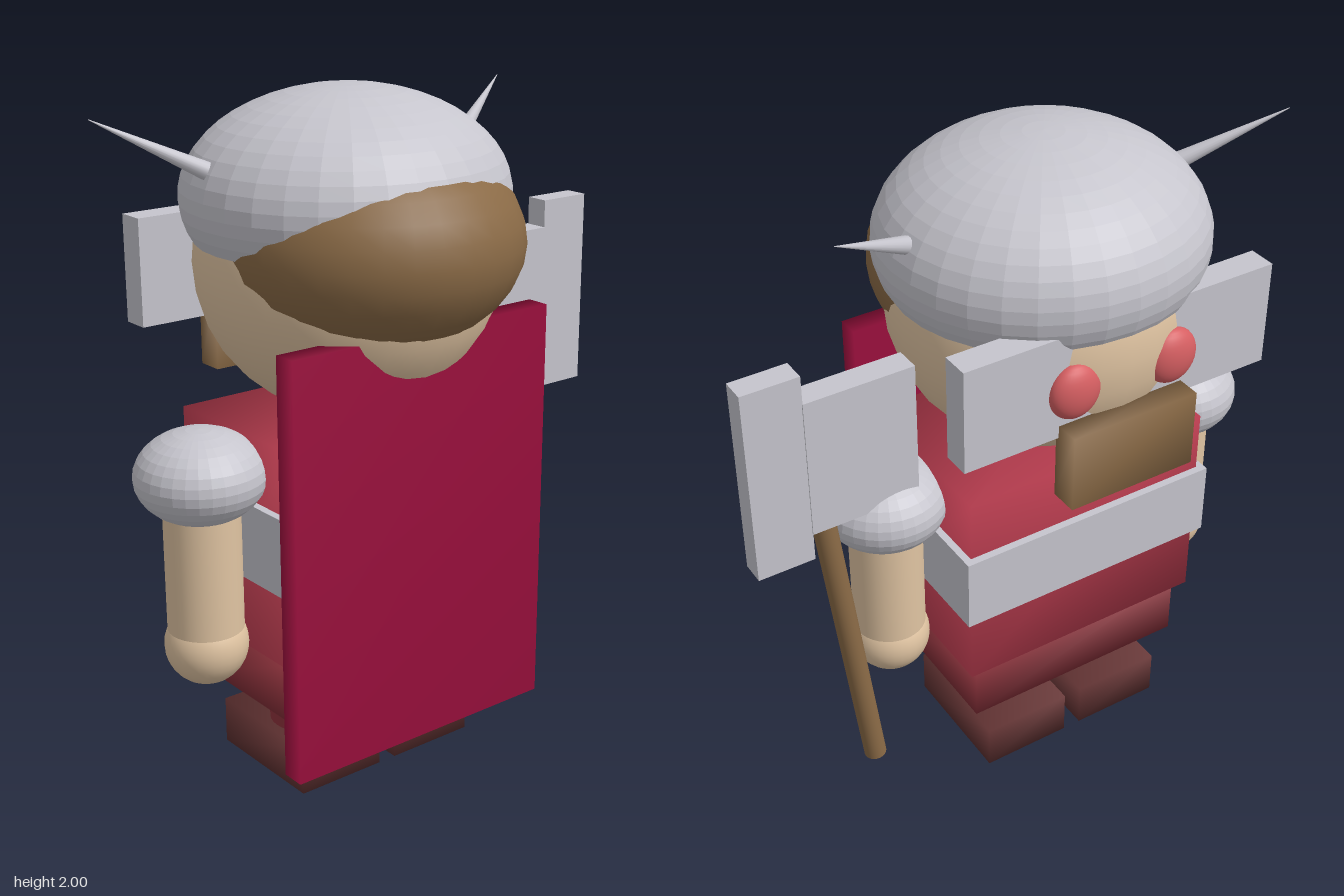
import * as THREE from 'three';
import { mergeVertices } from 'three/addons/utils/BufferGeometryUtils.js';

const mat = (name, color, side = THREE.FrontSide) => {
  const m = new THREE.MeshStandardMaterial({ color, side });
  m.name = name;
  return m;
};

// faceted: one normal per face
function faceted(geo) {
  const g = geo.toNonIndexed();
  g.computeVertexNormals();
  return g;
}

// soft: normals blended across the corners of a box
function soft(geo) {
  geo.deleteAttribute('normal');
  geo.deleteAttribute('uv');
  const g = mergeVertices(geo);
  g.computeVertexNormals();
  return g;
}

// box from its lower and upper corners
function boxBetween(a, b) {
  return new THREE.BoxGeometry(b[0] - a[0], b[1] - a[1], b[2] - a[2])
    .translate((a[0] + b[0]) / 2, (a[1] + b[1]) / 2, (a[2] + b[2]) / 2);
}

function ellipsoid(center, radii, thetaLength = Math.PI) {
  return new THREE.SphereGeometry(1, 32, 16, 0, Math.PI * 2, 0, thetaLength)
    .scale(...radii).translate(...center);
}

// tapered rod between two points
function rod(from, to, r0, r1, sides = 24) {
  const a = new THREE.Vector3(...from), b = new THREE.Vector3(...to);
  const dir = b.clone().sub(a);
  const q = new THREE.Quaternion().setFromUnitVectors(new THREE.Vector3(0, 1, 0), dir.clone().normalize());
  const mid = a.add(b).multiplyScalar(0.5);
  return new THREE.CylinderGeometry(r1, r0, dir.length(), sides)
    .applyQuaternion(q).translate(mid.x, mid.y, mid.z);
}

export function createModel() {
  const model = new THREE.Group();
  const steel = mat('steel', 0xc6c5cd, THREE.DoubleSide);
  const skin = mat('skin', 0xe0c4a2);
  const brown = mat('brown', 0x8a6a46);
  const red = mat('tunic red', 0xbc3d50);
  const darkRed = mat('dark red', 0x8e323c);
  const crimson = mat('cape crimson', 0x990f3c);
  const leather = mat('boot leather', 0x643434);
  const eyeRed = mat('eye red', 0xd65f62);

  const add = (name, geo, material) => {
    const mesh = new THREE.Mesh(geo, material);
    mesh.name = name;
    model.add(mesh);
  };

  const cx = -0.128; // body centre line
  const cz = -0.03;

  // head, hair and helmet
  add('head', ellipsoid([cx, 1.515, -0.035], [0.435, 0.435, 0.435]), skin);
  add('hair', ellipsoid([cx, 1.587, 0.068], [0.428, 0.305, 0.428]), brown);
  add('helmet', faceted(ellipsoid([cx, 1.70, -0.04], [0.47, 0.30, 0.45], Math.PI * 0.63)), steel);
  add('facePlate', boxBetween([-0.613, 1.33, -0.43], [0.36, 1.64, -0.346]), steel);
  add('beard', soft(boxBetween([-0.326, 1.135, -0.502], [0.071, 1.367, -0.418])), brown);

  // torso
  add('tunic', soft(boxBetween([-0.522, 0.45, -0.30], [0.265, 1.092, 0.24])), red);
  add('belt', boxBetween([-0.545, 0.678, -0.323], [0.287, 0.906, 0.26]), steel);
  add('skirt', soft(boxBetween([-0.49, 0.255, -0.272], [0.234, 0.46, 0.213])), darkRed);
  add('cape', soft(boxBetween([-0.57, 0.16, 0.237], [0.316, 1.378, 0.307])), crimson);

  // mirrored parts
  for (const [s, side] of [[-1, 'right'], [1, 'left']]) {
    const x = (d) => cx + s * d;
    add(side + 'Horn', rod([x(0.435), 1.805, -0.067], [x(0.70), 1.948, -0.20], 0.025, 0.001, 16), steel);
    add(side + 'Eye', ellipsoid([x(0.155), 1.467, -0.432], [0.078, 0.083, 0.045]), eyeRed);
    add(side + 'Shoulder', faceted(ellipsoid([x(0.515), 0.99, cz], [0.184, 0.133, 0.184])), steel);
    add(side + 'Arm', rod([x(0.515), 0.49, cz], [x(0.515), 0.99, cz], 0.108, 0.108, 32), skin);
    add(side + 'Hand', ellipsoid([x(0.515), 0.49, cz], [0.119, 0.119, 0.119]), skin);
    add(side + 'Leg', rod([x(0.17), 0.12, cz], [x(0.17), 0.30, cz], 0.113, 0.113, 32), darkRed);
    add(side + 'Boot', soft(boxBetween([x(0.17) - 0.141, 0, -0.264], [x(0.17) + 0.141, 0.143, 0.137])), leather);
  }

  // axe
  add('axeHandle', rod([0.497, 0.092, -0.102], [0.612, 1.062, -0.102], 0.034, 0.034), brown);
  add('axeHead', boxBetween([0.333, 1.06, -0.142], [0.662, 1.488, -0.065]), steel);
  add('axeBlade', boxBetween([0.66, 0.972, -0.138], [0.83, 1.572, -0.066]), steel);

  return model;
}
